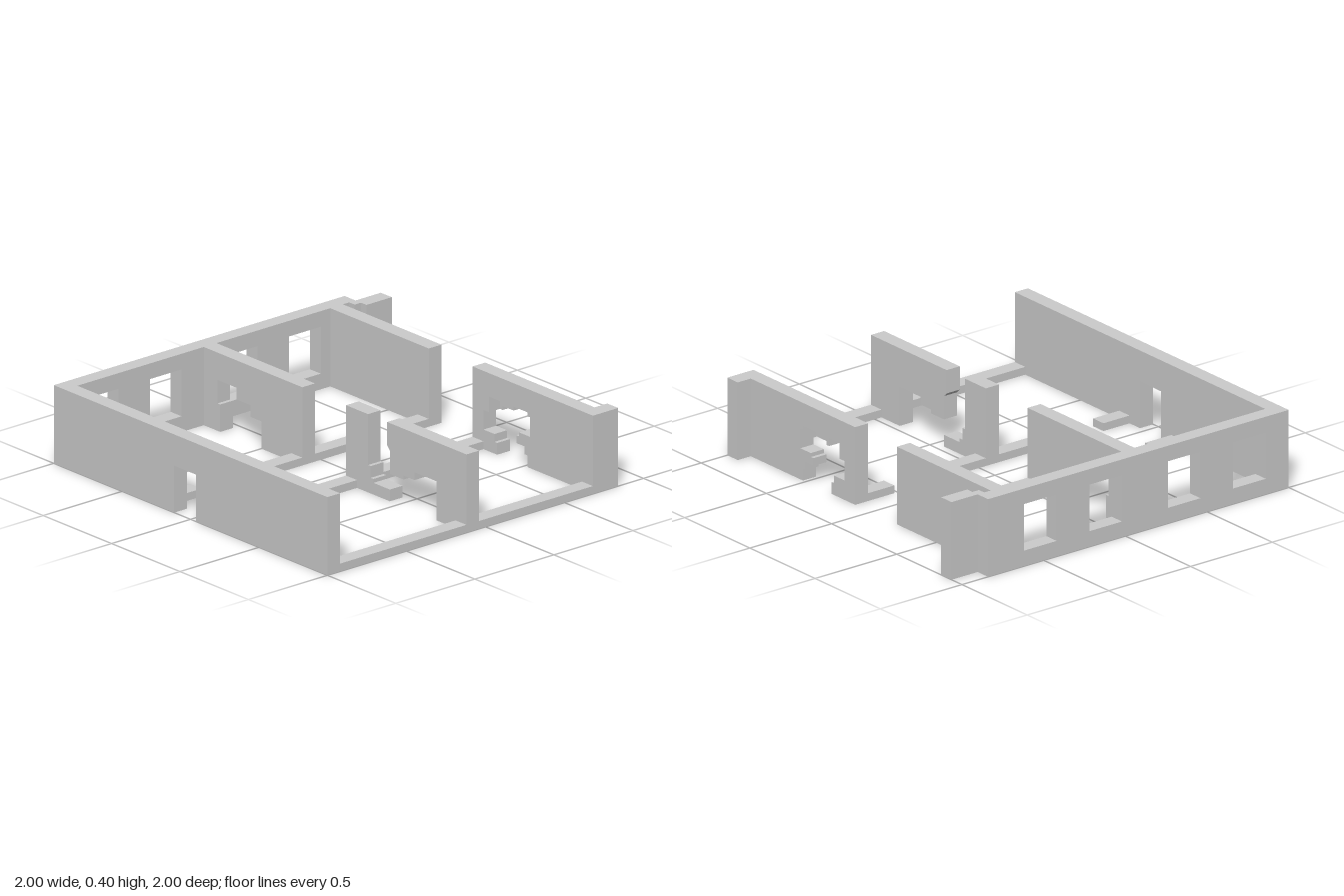
import * as THREE from 'three';

const H = 0.4, LOW = 0.04;
const mat = new THREE.MeshStandardMaterial({ color: 0xcccccc, flatShading: true });

export function createModel() {
  const model = new THREE.Group();

  const add = (name, geo) => {
    const mesh = new THREE.Mesh(geo, mat);
    mesh.name = name;
    model.add(mesh);
  };

  // Upright block standing on the ground
  const block = (name, x0, x1, z0, z1, h = H) => {
    const g = new THREE.BoxGeometry(x1 - x0, h, z1 - z0);
    g.translate((x0 + x1) / 2, h / 2, (z0 + z1) / 2);
    add(name, g);
  };

  // Wall running along z, cut from a (z, y) outline and 0.08 thick
  const profileWall = (name, x0, points) => {
    const shape = new THREE.Shape(points.map(([z, y]) => new THREE.Vector2(z, y)));
    const g = new THREE.ExtrudeGeometry(shape, { depth: 0.08, bevelEnabled: false });
    g.rotateY(-Math.PI / 2);
    g.translate(x0 + 0.08, 0, 0);
    add(name, g);
  };

  // Back wall with four windows
  const back = new THREE.Shape([[-1, 0], [0.84, 0], [0.84, H], [-1, H]].map(p => new THREE.Vector2(...p)));
  for (const x of [-0.86, -0.46, 0.02, 0.42]) {
    back.holes.push(new THREE.Path(
      [[x, 0.08], [x, 0.32], [x + 0.2, 0.32], [x + 0.2, 0.08]].map(p => new THREE.Vector2(...p))));
  }
  const backGeo = new THREE.ExtrudeGeometry(back, { depth: 0.08, bevelEnabled: false });
  backGeo.translate(0, 0, -1);
  add('backWall', backGeo);

  // Outer side wall with the corridor doorway
  profileWall('doorWall', -1, [
    [-0.92, 0], [-0.12, 0], [-0.12, 0.24], [0.04, 0.24], [0.04, 0], [1, 0], [1, H], [-0.92, H],
  ]);

  // Middle wall, back half, with a broken opening
  profileWall('middleBackWall', -0.12, [
    [-0.92, 0], [-0.8, 0], [-0.8, 0.14], [-0.82, 0.14], [-0.82, 0.26], [-0.68, 0.26], [-0.68, 0.2],
    [-0.58, 0.2], [-0.58, 0.14], [-0.5, 0.14], [-0.5, 0], [-0.2, 0], [-0.2, H], [-0.92, H],
  ]);

  // Middle wall, front half: overhanging slab and the stub with a stepped foot
  profileWall('middleFrontWall', -0.12, [
    [1, 0], [1, H], [0.42, H], [0.42, 0.28], [0.44, 0.26], [0.44, 0.14], [0.54, 0.14],
    [0.54, 0.16], [0.62, 0.16], [0.62, 0.2], [0.78, 0.2], [0.78, 0],
  ]);
  profileWall('middleWallStub', -0.12, [
    [0.12, 0], [0.44, 0], [0.44, 0.06], [0.32, 0.06], [0.32, 0.08], [0.3, 0.08],
    [0.3, 0.14], [0.28, 0.14], [0.28, H], [0.12, H],
  ]);

  // Right wall: solid back half, front half with a jagged breach
  block('rightBackWall', 0.68, 0.76, -0.92, -0.2);
  profileWall('rightFrontWall', 0.68, [
    [1, 0], [1, H], [0.12, H], [0.12, 0], [0.3, 0], [0.3, 0.06], [0.28, 0.06], [0.28, 0.1],
    [0.2, 0.1], [0.2, 0.2], [0.24, 0.2], [0.24, 0.28], [0.32, 0.28], [0.32, 0.24], [0.34, 0.24],
    [0.34, 0.26], [0.42, 0.26], [0.42, 0.28], [0.52, 0.28], [0.52, 0.26], [0.54, 0.26],
    [0.54, 0.16], [0.46, 0.16], [0.46, 0.14], [0.44, 0.14], [0.44, 0.1], [0.5, 0.1],
    [0.5, 0.06], [0.52, 0.06], [0.52, 0],
  ]);

  // Corner stubs outside the right wall
  block('frontCornerStub', 0.76, 0.84, 0.92, 1);
  block('backCornerLink', 0.8, 0.84, -0.92, -0.88);
  block('backCornerPier', 0.84, 1, -0.92, -0.84);

  // Low front sills
  block('frontSill', -0.92, -0.12, 0.92, 1, LOW);
  block('frontSill', -0.04, 0.68, 0.92, 1, LOW);

  // Low corridor sills with door gaps
  for (const z of [-0.28, 0.12]) {
    for (const [x0, x1] of [[-0.92, -0.76], [-0.6, -0.12], [-0.04, 0.36], [0.52, 0.68]]) {
      block('corridorSill', x0, x1, z, z + 0.08, LOW);
    }
  }

  return model;
}
